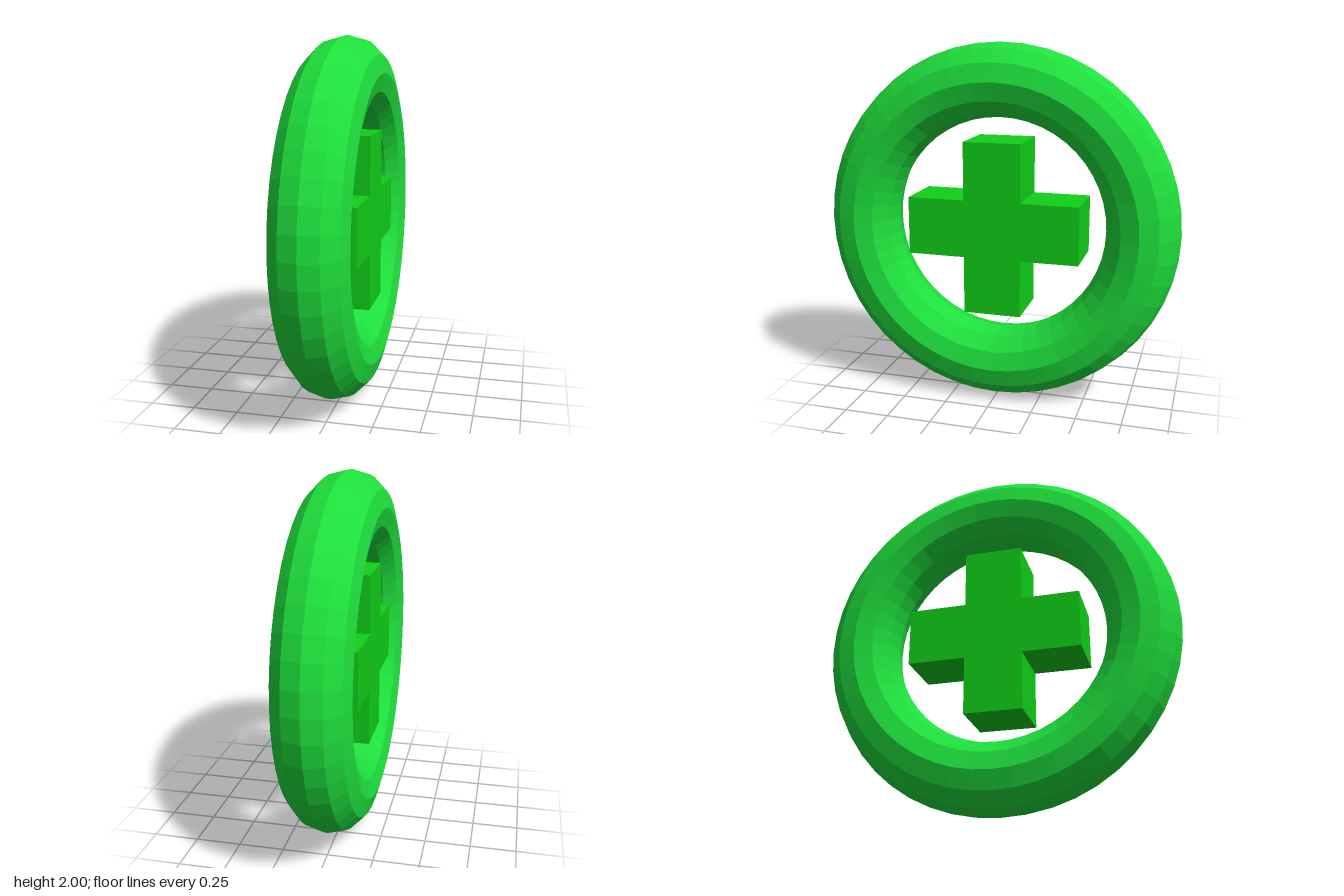
import * as THREE from 'three';

export function createModel() {
  const group = new THREE.Group();
  const material = (color) => new THREE.MeshStandardMaterial({ color, flatShading: true });

  // Upright ring, its axis along x
  const ringGeometry = new THREE.TorusGeometry(0.8, 0.2, 12, 48).rotateY(Math.PI / 2);
  const ring = new THREE.Mesh(ringGeometry, material(0x1ee03c));
  ring.name = 'ring';
  ring.position.y = 1;
  group.add(ring);

  // Solid plus shape floating in the middle: one arm outline turned four times
  const half = 0.16, reach = 0.48;
  const outline = [];
  for (let i = 0; i < 4; i++) {
    for (const [x, y] of [[reach, -half], [reach, half], [half, half]]) {
      outline.push(new THREE.Vector2(x, y).rotateAround(new THREE.Vector2(), i * Math.PI / 2));
    }
  }
  const crossGeometry = new THREE.ExtrudeGeometry(new THREE.Shape(outline), {
    depth: 2 * half, bevelEnabled: false,
  }).translate(0, 0, -half).rotateY(Math.PI / 2);
  const cross = new THREE.Mesh(crossGeometry, material(0x10d018));
  cross.name = 'cross';
  cross.position.y = 1;
  group.add(cross);

  return group;
}
